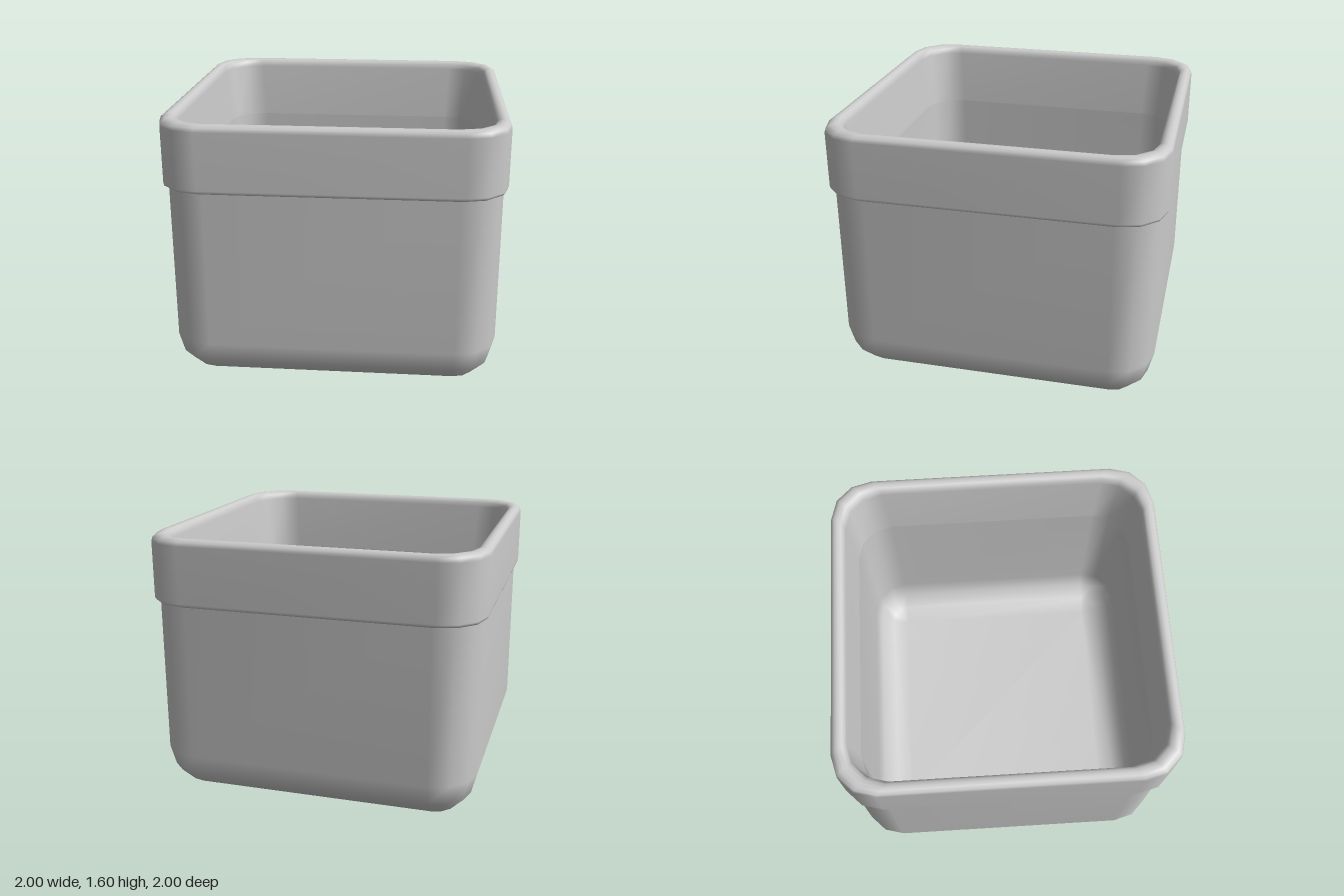
import * as THREE from 'three';
import { mergeVertices } from 'three/addons/utils/BufferGeometryUtils.js';

const SEG = 3; // segments per rounded corner

// Loft through rounded squares; each profile entry is [half width, corner radius, height]
function loft(profile) {
  const pos = [], idx = [], n = 4 * (SEG + 1);
  for (const [half, r, y] of profile) {
    for (let q = 0; q < 4; q++) {
      const cx = (q === 0 || q === 3 ? 1 : -1) * (half - r);
      const cz = (q < 2 ? 1 : -1) * (half - r);
      for (let k = 0; k <= SEG; k++) {
        const t = (q + k / SEG) * Math.PI / 2;
        pos.push(cx + r * Math.cos(t), y, cz + r * Math.sin(t));
      }
    }
  }
  for (let i = 0; i < profile.length - 1; i++) {
    for (let j = 0; j < n; j++) {
      const a = i * n + j, b = i * n + (j + 1) % n;
      idx.push(a, a + n, b, b, a + n, b + n);
    }
  }
  let g = new THREE.BufferGeometry();
  g.setAttribute('position', new THREE.Float32BufferAttribute(pos, 3));
  g.setIndex(idx);
  g = mergeVertices(g, 1e-4);
  g.computeVertexNormals();
  return g;
}

// Quarter-round edge between a flat base at height y and a vertical wall
function cove(half, r, y) {
  const rings = [];
  for (let k = 0; k <= SEG; k++) {
    const t = k / SEG * Math.PI / 2, s = r * Math.sin(t);
    rings.push([half - r + s, s, y + r - r * Math.cos(t)]);
  }
  return rings;
}

export function createModel() {
  const group = new THREE.Group();
  const material = new THREE.MeshStandardMaterial({ color: 0xcccccc, side: THREE.DoubleSide });
  const add = (name, profile) => {
    const mesh = new THREE.Mesh(loft(profile), material);
    mesh.name = name;
    group.add(mesh);
  };

  // Outer tub with rounded base
  add('body', [[0, 0, 0], ...cove(0.975, 0.25, 0), [0.975, 0.25, 1.23]]);

  // Collar: underside, outer band, rounded lip and tapered inner face
  add('rim', [
    [0.96, 0.24, 1.2], [0.985, 0.245, 1.2], [0.996, 0.25, 1.207], [1, 0.25, 1.222],
    [1, 0.25, 1.56], [0.993, 0.248, 1.583], [0.975, 0.245, 1.597], [0.955, 0.24, 1.6],
    [0.935, 0.235, 1.595], [0.92, 0.232, 1.58], [0.912, 0.23, 1.55], [0.88, 0.22, 1.2],
  ]);

  // Inner cavity with rounded floor edge
  add('cavity', [[0.88, 0.22, 1.2], ...cove(0.88, 0.22, 0.095).reverse(), [0, 0, 0.095]]);

  return group;
}
